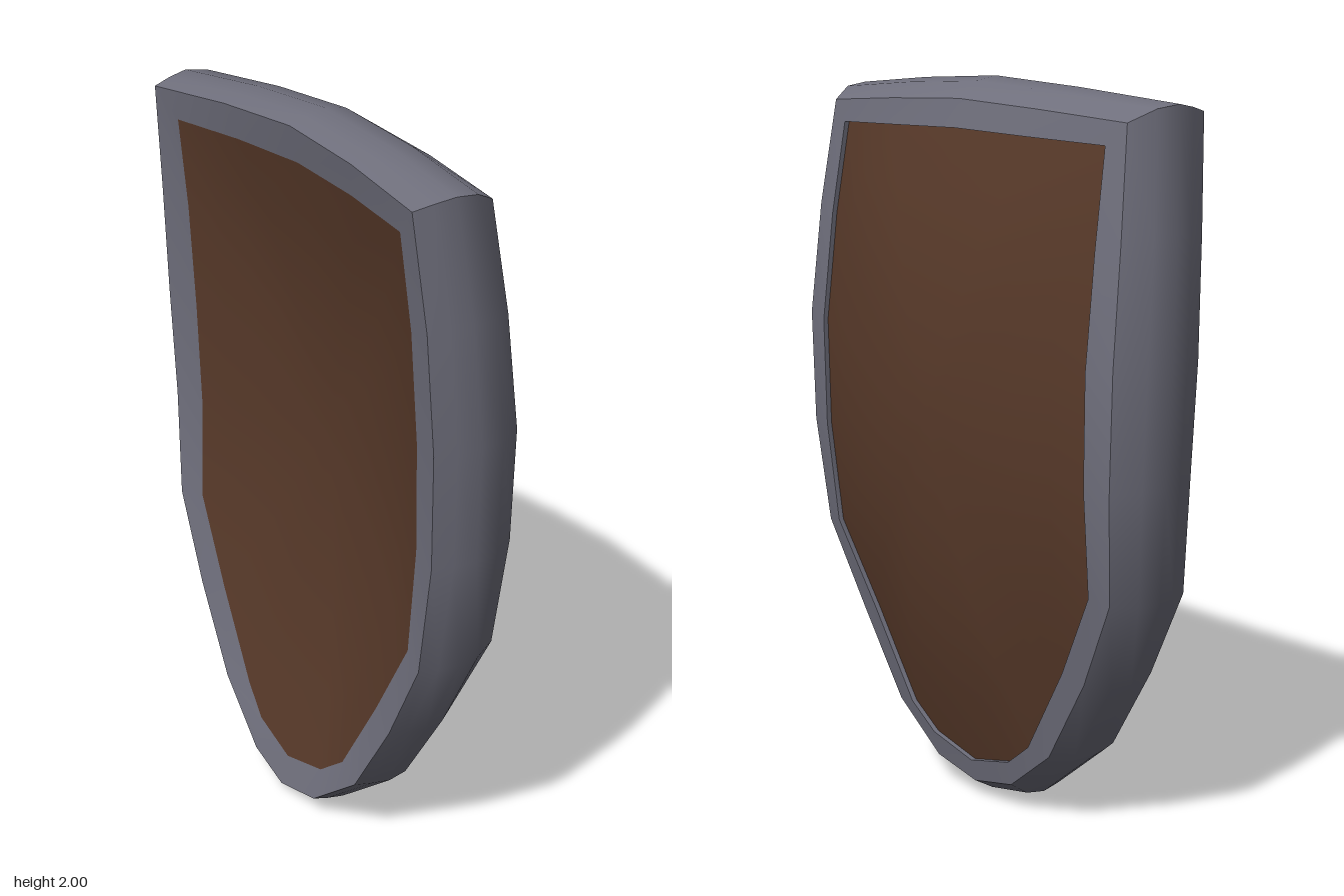
import * as THREE from 'three';
import { toCreasedNormals } from 'three/addons/utils/BufferGeometryUtils.js';

// Half outline, top centre to bottom tip:
// [outer z, outer y, inner z, inner y, back x, front x]
const half = [
  [0, 2.0, 0, 1.87, -0.15, 0.1],
  [0.31, 1.983, 0.27, 1.863, -0.165, 0.09],
  [0.635, 1.955, 0.53, 1.855, -0.2, 0.06],
  [0.67, 1.64, 0.54, 1.6, -0.172, 0.1],
  [0.685, 1.32, 0.545, 1.3, -0.155, 0.133],
  [0.672, 1.0, 0.54, 1.0, -0.147, 0.13],
  [0.637, 0.69, 0.53, 0.71, -0.16, 0.1],
  [0.52, 0.44, 0.4, 0.47, -0.167, 0.07],
  [0.37, 0.2, 0.25, 0.22, -0.175, 0.055],
  [0.155, 0.03, 0.16, 0.15, -0.19, 0.048],
  [0, 0, 0, 0.11, -0.2, 0.045],
];
const mirrored = half.slice(1, -1).reverse().map(([oz, oy, iz, ...rest]) => [-oz, oy, -iz, ...rest]);
const loop = [...half, ...mirrored];

// Rim section: [inset from outer to inner edge, depth from back to front]
const section = [[1, 0.09], [0.23, 0], [0.1, 0.2], [0, 0.42], [0.09, 0.68], [0.42, 0.94], [1, 1], [1, 0.92]];

const LIP = 0.015;
const centreY = 1.12;
const lerp = THREE.MathUtils.lerp;

// Skins a grid of points running round the outline
function skin(steps, pointAt, crease) {
  const position = [], index = [];
  const n = loop.length;
  for (const p of loop) for (const s of steps) position.push(...pointAt(p, s));
  const m = steps.length;
  for (let i = 0; i < n; i++) {
    for (let j = 0; j < m - 1; j++) {
      const a = i * m + j, b = ((i + 1) % n) * m + j;
      index.push(a, b, b + 1, a, b + 1, a + 1);
    }
  }
  const g = new THREE.BufferGeometry();
  g.setAttribute('position', new THREE.Float32BufferAttribute(position, 3));
  g.setIndex(index);
  return toCreasedNormals(g, crease);
}

// Board surface bowed from its edge to its centre
function bowed(steps, edgeX, centreX) {
  return skin(steps, (p, s) => [
    lerp(centreX, edgeX(p), s * s),
    lerp(centreY, p[3], s),
    p[2] * s,
  ], 1);
}

export function createModel() {
  const group = new THREE.Group();
  group.name = 'shield';
  const metal = new THREE.MeshStandardMaterial({ color: 0x6f6f7c });
  const wood = new THREE.MeshStandardMaterial({ color: 0x573929 });
  const add = (name, geometry, material) => {
    const mesh = new THREE.Mesh(geometry, material);
    mesh.name = name;
    group.add(mesh);
  };

  // Rounded metal rim
  add('rim', skin(section, (p, [t, u]) => [
    lerp(p[4], p[5], u),
    lerp(p[1], p[3], t),
    lerp(p[0], p[2], t),
  ], 0.65), metal);

  // Wooden board: bulging front, hollow back
  const rings = [0, 0.2, 0.4, 0.6, 0.8, 1];
  add('boardFront', bowed([...rings].reverse(), (p) => p[5] - LIP, 0.203), wood);
  add('boardBack', bowed(rings, (p) => lerp(p[4], p[5], 0.09), -0.04), wood);

  return group;
}
